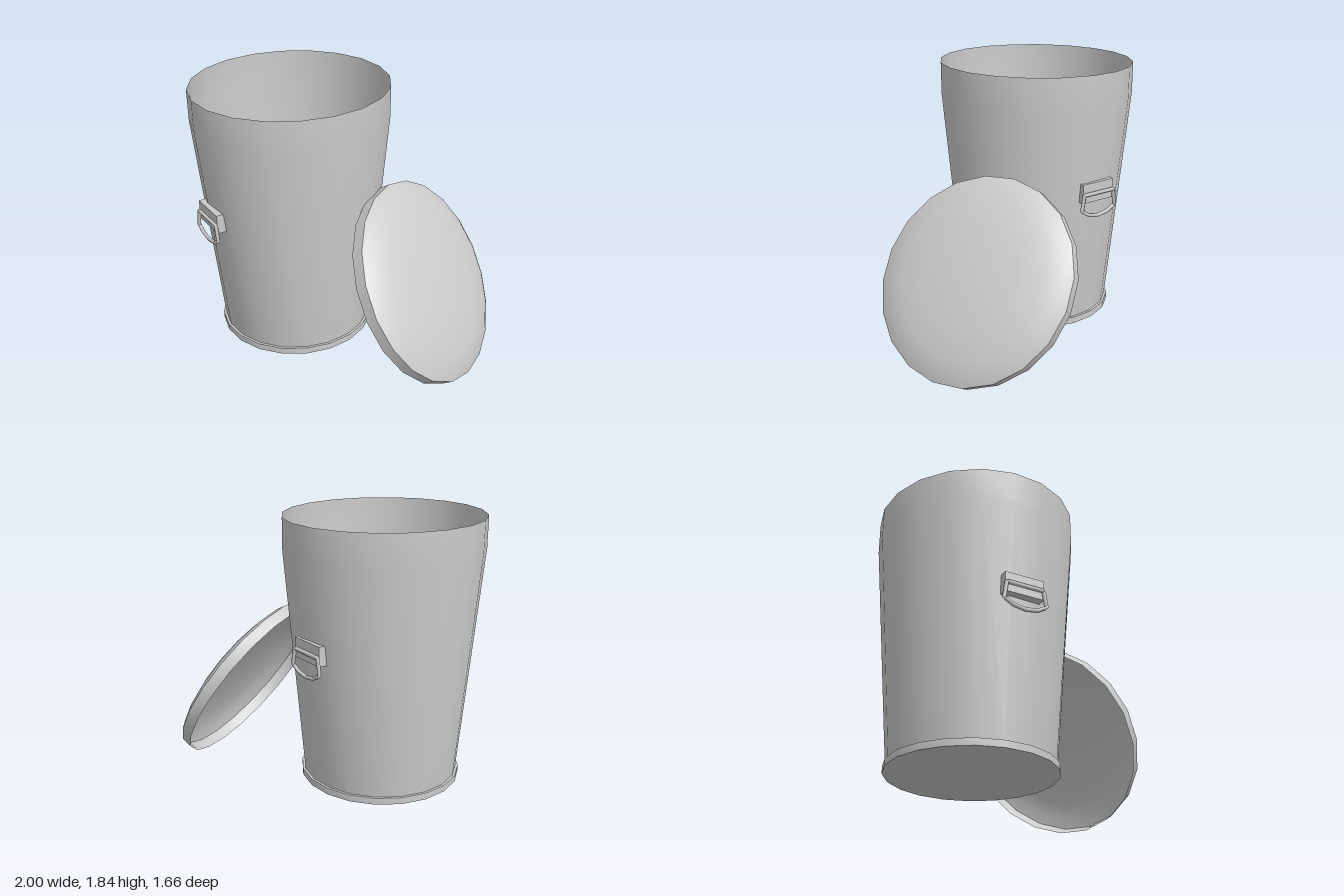
import * as THREE from 'three';
import { toCreasedNormals } from 'three/addons/utils/BufferGeometryUtils.js';

const SIDES = 20;
const metal = new THREE.MeshStandardMaterial({ color: 0xcccccc, side: THREE.DoubleSide });

function addMesh(parent, name, geometry) {
  const mesh = new THREE.Mesh(geometry, metal);
  mesh.name = name;
  parent.add(mesh);
  return mesh;
}

// Turned thin shell; stretch(y) widens each ring along z
function turned(profile, stretch) {
  const points = profile.map(([r, y]) => new THREE.Vector2(r, y));
  const geometry = new THREE.LatheGeometry(points, SIDES);
  const pos = geometry.attributes.position;
  for (let i = 0; i < pos.count; i++) pos.setZ(i, pos.getZ(i) * stretch(pos.getY(i)));
  geometry.deleteAttribute('normal');
  return toCreasedNormals(geometry, 0.6);
}

// Bracket with a hanging D-shaped pull
function makeHandle(name) {
  const handle = new THREE.Group();
  handle.name = name;
  const bracket = addMesh(handle, 'handleBracket', new THREE.BoxGeometry(0.26, 0.13, 0.06));
  bracket.position.y = 1.063;

  const outline = [
    [-0.125, 1.057], [-0.142, 0.947], [-0.08, 0.912], [0, 0.899],
    [0.08, 0.912], [0.142, 0.947], [0.125, 1.057],
  ].map(([x, y]) => new THREE.Vector3(x, y, 0.037));
  const path = new THREE.CurvePath();
  outline.forEach((p, i) => path.add(new THREE.LineCurve3(p, outline[(i + 1) % outline.length])));
  addMesh(handle, 'handlePull', new THREE.TubeGeometry(path, 56, 0.013, 6, true));
  return handle;
}

export function createModel() {
  const model = new THREE.Group();
  model.name = 'binWithLid';

  // Bin, round at the foot and slightly oval at the rim
  const bin = new THREE.Group();
  bin.name = 'bin';
  bin.position.set(-0.357, 0, 0.142);
  model.add(bin);
  const oval = (y) => 1 + 0.045 * THREE.MathUtils.clamp((y - 0.12) / 1.52, 0, 1);
  addMesh(bin, 'binBody', turned([[0.523, 0.12], [0.643, 1.64], [0.643, 1.85]], oval));
  addMesh(bin, 'binBase', turned([[0, 0.075], [0.54, 0.075], [0.54, 0.12], [0.523, 0.12]], oval));

  // Handles on opposite sides
  [['frontHandle', -0.118, 0.61, 0], ['backHandle', 0.087, -0.602, Math.PI]].forEach(([name, x, z, turn]) => {
    const handle = makeHandle(name);
    handle.position.set(x, 0, z);
    handle.rotation.y = turn - 0.21;
    bin.add(handle);
  });

  // Oval domed lid leaning against the bin, its long axis turned off the slope
  const lid = new THREE.Group();
  lid.name = 'lid';
  addMesh(lid, 'lidShell', turned(
    [[0.66, 0], [0.66, 0.08], [0.6, 0.115], [0.5, 0.15], [0.33, 0.175], [0, 0.19]], () => 1.045));
  const up = new THREE.Vector3(0.815, 0.54, -0.2).normalize();
  const level = new THREE.Vector3(0.238, 0, 0.971).normalize();
  const long = level.applyAxisAngle(up, THREE.MathUtils.degToRad(65));
  const short = new THREE.Vector3().crossVectors(up, long);
  lid.quaternion.setFromRotationMatrix(new THREE.Matrix4().makeBasis(short, up, long));
  lid.position.set(0.541, 0.584, -0.164);
  model.add(lid);

  return model;
}
